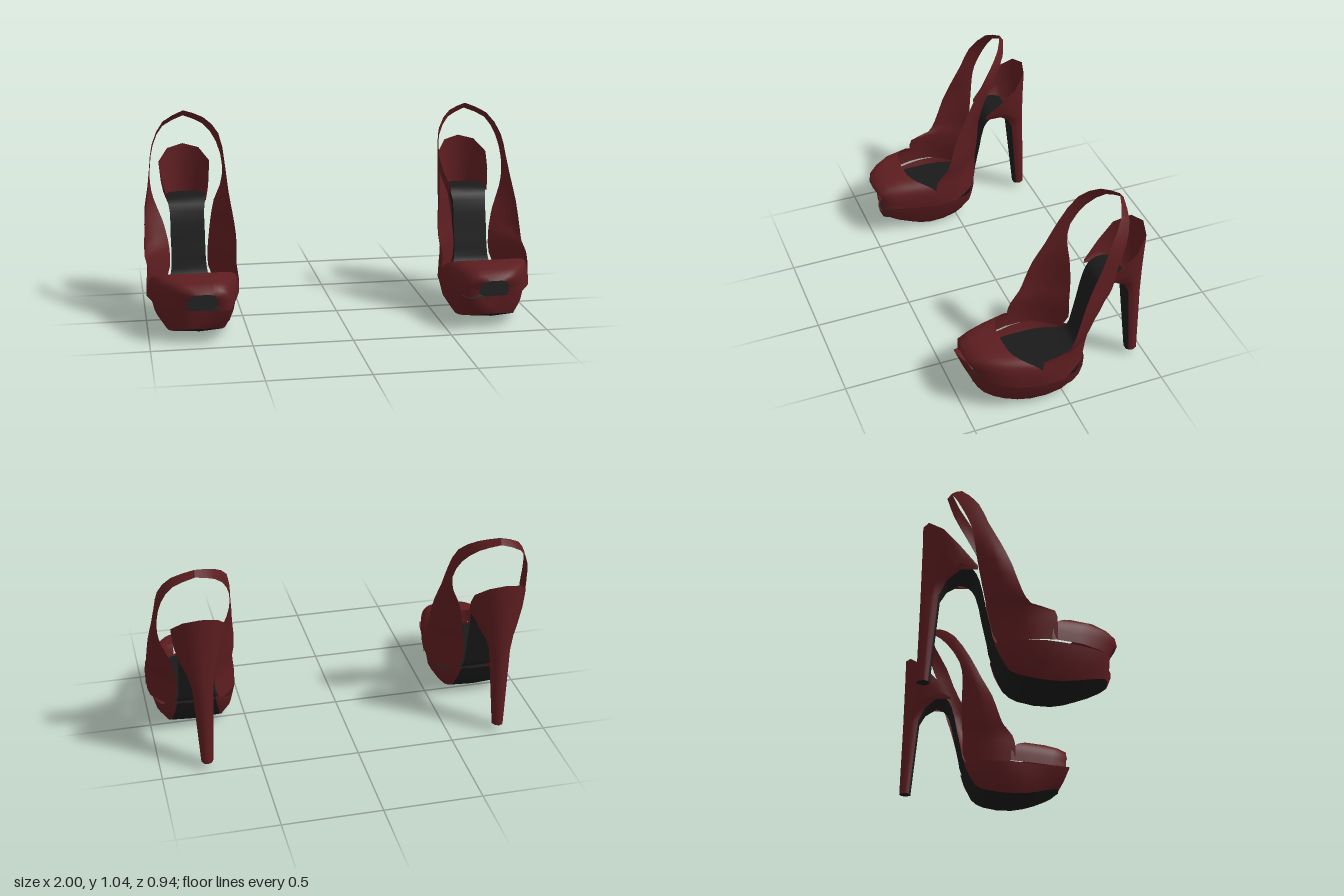
import * as THREE from 'three';

const red = new THREE.MeshStandardMaterial({ color: 0x5d1d20, side: THREE.DoubleSide });
red.name = 'oxblood leather';
const black = new THREE.MeshStandardMaterial({ color: 0x1a1a1a, side: THREE.DoubleSide });
black.name = 'black sole';

const CENTRE = 0.765; // distance of each shoe from the middle

// smooth a row of points, n steps per span
function smooth(row, n = 2) {
  const c = new THREE.CatmullRomCurve3(row.map(p => new THREE.Vector3(...p)), false, 'centripetal');
  return Array.from({ length: (row.length - 1) * n + 1 }, (_, i) =>
    c.getPoint(i / ((row.length - 1) * n)).toArray());
}

// skin over rows of [outward offset, y, z]
function loft(name, rows, material, side, flip = false) {
  const pos = [], idx = [], n = rows[0].length;
  rows.forEach(r => r.forEach(([u, y, z]) => pos.push(side * (CENTRE + u), y, z)));
  for (let i = 0; i < rows.length - 1; i++) for (let j = 0; j < n - 1; j++) {
    const a = i * n + j, b = a + 1, c = a + n, d = c + 1;
    if ((side < 0) !== flip) idx.push(a, c, b, b, c, d);
    else idx.push(a, b, c, b, d, c);
  }
  const g = new THREE.BufferGeometry();
  g.setAttribute('position', new THREE.Float32BufferAttribute(pos, 3));
  g.setIndex(idx);
  g.computeVertexNormals();
  const m = new THREE.Mesh(g, material);
  m.name = name;
  return m;
}

// platform outlines, from the outer arch round the toe to the inner arch
const platformTop = smooth([[0.1, 0.205, -0.122], [0.175, 0.175, -0.085], [0.215, 0.175, 0.03], [0.205, 0.172, 0.18],
  [0.14, 0.172, 0.35], [0.075, 0.172, 0.415], [-0.05, 0.172, 0.43], [-0.163, 0.172, 0.462],
  [-0.188, 0.172, 0.3], [-0.226, 0.172, 0.13], [-0.22, 0.175, 0.02], [-0.175, 0.175, -0.085], [-0.1, 0.205, -0.122]]);
const platformBottom = smooth([[0.1, 0.19, -0.12], [0.125, 0.06, -0.06], [0.145, 0.025, 0.01], [0.14, 0.01, 0.17],
  [0.115, 0.035, 0.3], [0.065, 0.065, 0.39], [-0.02, 0.075, 0.415], [-0.1, 0.065, 0.395],
  [-0.14, 0.03, 0.28], [-0.16, 0.01, 0.17], [-0.15, 0.025, 0.01], [-0.125, 0.06, -0.06], [-0.1, 0.19, -0.12]]);
const platformMiddle = platformTop.map((p, i) => {
  const q = platformBottom[i];
  return [(p[0] * 0.65 + q[0] * 0.35) * 1.01, (p[1] + q[1]) / 2 - 0.01, p[2] * 0.6 + q[2] * 0.4];
});

// insole stations: z, y, half width
const insole = [[0.41, 0.165, 0.06], [0.35, 0.172, 0.12], [0.25, 0.175, 0.155], [0.1, 0.176, 0.16], [0, 0.178, 0.15],
  [-0.07, 0.182, 0.12], [-0.118, 0.2, 0.1], [-0.138, 0.28, 0.09], [-0.164, 0.4, 0.09], [-0.193, 0.53, 0.09],
  [-0.23, 0.585, 0.1], [-0.3, 0.6, 0.105], [-0.345, 0.605, 0.07]];

// vamp stations: outer edge u, z, inner edge u, z, crown y, crown z, lean
const vamp = [[0.05, 0.415, -0.105, 0.42, 0.262, 0.465, 1], [0.1, 0.4, -0.162, 0.44, 0.285, 0.45, 1],
  [0.15, 0.35, -0.185, 0.36, 0.305, 0.41, 2], [0.203, 0.26, -0.21, 0.26, 0.317, 0.35, 2.5],
  [0.235, 0.125, -0.237, 0.125, 0.32, 0.275, 2.5]];

// side quarters with the sling strap: front and rear edges
const shared = [[[0.23, 0.172, 0.15], [0.13, 0.172, -0.1]], [[0.234, 0.25, 0.15], [0.1, 0.25, -0.13]]];
const outerEdges = [...shared,
  [[0.225, 0.32, 0.14], [0.1, 0.35, -0.152]], [[0.234, 0.348, 0.03], [0.112, 0.42, -0.168]],
  [[0.234, 0.41, -0.01], [0.13, 0.49, -0.185]],
  [[0.222, 0.55, -0.055], [0.172, 0.6, -0.212]], [[0.203, 0.67, -0.105], [0.187, 0.68, -0.225]],
  [[0.19, 0.78, -0.16], [0.185, 0.76, -0.24]], [[0.172, 0.89, -0.205], [0.165, 0.87, -0.285]],
  [[0.11, 0.995, -0.28], [0.11, 0.965, -0.322]], [[0, 1.045, -0.32], [0, 1.015, -0.342]]];
const innerEdges = [...shared,
  [[0.225, 0.322, 0.135], [0.1, 0.35, -0.13]], [[0.232, 0.385, 0.083], [0.108, 0.42, -0.136]],
  [[0.232, 0.46, 0.054], [0.117, 0.49, -0.14]],
  [[0.22, 0.56, 0.022], [0.138, 0.6, -0.14]], [[0.205, 0.67, -0.035], [0.172, 0.68, -0.14]],
  [[0.195, 0.8, -0.1], [0.187, 0.77, -0.16]], [[0.173, 0.94, -0.19], [0.163, 0.89, -0.23]],
  [[0.1, 1.015, -0.27], [0.1, 0.975, -0.3]], [[0, 1.045, -0.32], [0, 1.015, -0.342]]];

// one U-shaped heel level from front corner [u,y,z], side [u,y,z] and back [y,z]
function heelLevel(f, m, b) {
  const half = [f,
    [f[0] * 0.3 + m[0] * 0.7, (f[1] + m[1]) / 2, (f[2] + m[2]) / 2], m,
    [m[0] * 0.62, m[1] * 0.25 + b[0] * 0.75, m[2] * 0.25 + b[1] * 0.75]];
  return [...half, [0, b[0], b[1]], ...half.slice().reverse().map(([u, y, z]) => [-u, y, z])];
}
const heel = [
  heelLevel([0.1, 0.6, -0.2], [0.135, 0.765, -0.365], [0.845, -0.455]),
  heelLevel([0.1, 0.58, -0.2], [0.125, 0.66, -0.36], [0.75, -0.455]),
  heelLevel([0.09, 0.58, -0.28], [0.1, 0.57, -0.37], [0.62, -0.457]),
  heelLevel([0.07, 0.53, -0.342], [0.073, 0.52, -0.395], [0.5, -0.459]),
  heelLevel([0.048, 0.46, -0.378], [0.053, 0.45, -0.415], [0.43, -0.46]),
  heelLevel([0.022, 0.033, -0.418], [0.03, 0.033, -0.44], [0.033, -0.47])];

function createShoe(side) {
  const shoe = new THREE.Group();
  const add = (...a) => shoe.add(loft(...a, side));

  // platform wall and black outsole
  add('platform', [platformTop, platformMiddle, platformBottom], red);
  const last = platformBottom.length - 1;
  add('outsole', platformBottom.slice(0, last / 2 + 1).map((p, i) => {
    const q = platformBottom[last - i];
    const mid = p.map((v, k) => (v + q[k]) / 2);
    mid[1] -= 0.009;
    return [p, mid, q];
  }), black);

  // insole and arch
  const edge = smooth(insole.map(([z, y, w]) => [w, y, z]));
  add('insole', edge.map(([w, y, z]) => [[-w, y, z], [0, y, z], [w, y, z]]), black);

  // peep-toe vamp arching over the toes
  add('vamp', vamp.map(([uo, zo, ui, zi, h, zc, lean]) => Array.from({ length: 21 }, (_, i) => {
    const a = Math.PI * i / 20, s = Math.sin(a), c = Math.cos(a);
    const t = (1 - Math.sign(c) * Math.abs(c) ** 0.55) / 2;
    const base = zo + (zi - zo) * t;
    return [uo + (ui - uo) * t, 0.172 + (h - 0.172) * s ** 0.6, base + (zc - base) * s ** lean];
  })), red);

  // quarters rising into the sling strap
  for (const [name, edges, sign] of [['outerQuarter', outerEdges, 1], ['innerQuarter', innerEdges, -1]]) {
    const front = smooth(edges.map(e => e[0])), rear = smooth(edges.map(e => e[1]));
    const rows = front.map((f, i) => {
      const r = rear[i], bulge = Math.hypot(f[1] - r[1], f[2] - r[2]) * 0.17;
      const mid = f.map((v, k) => (v + r[k]) / 2);
      mid[0] = Math.min(f[0], mid[0] + bulge);
      return smooth([f, mid, r]).map(([u, y, z]) => [u * sign, y, z]);
    });
    shoe.add(loft(name, rows, red, side, sign > 0));
  }

  // heel cup and shaft, black breast and heel tip
  add('heel', heel, red);
  add('heelBreast', heel.slice(2).map(r => {
    const [u, y, z] = r[0];
    return [[-u, y, z], [-u * 0.7, y, z + 0.01], [u * 0.7, y, z + 0.01], [u, y, z]];
  }), black);
  const tip = heel[heel.length - 1];
  add('heelTip', tip.slice(0, 5).map((p, i) => [p, tip[tip.length - 1 - i]]), black);
  return shoe;
}

export function createModel() {
  const model = new THREE.Group();
  model.name = 'slingbackShoes';
  for (const [name, side] of [['leftShoe', 1], ['rightShoe', -1]]) {
    const shoe = createShoe(side);
    shoe.name = name;
    model.add(shoe);
  }
  return model;
}
